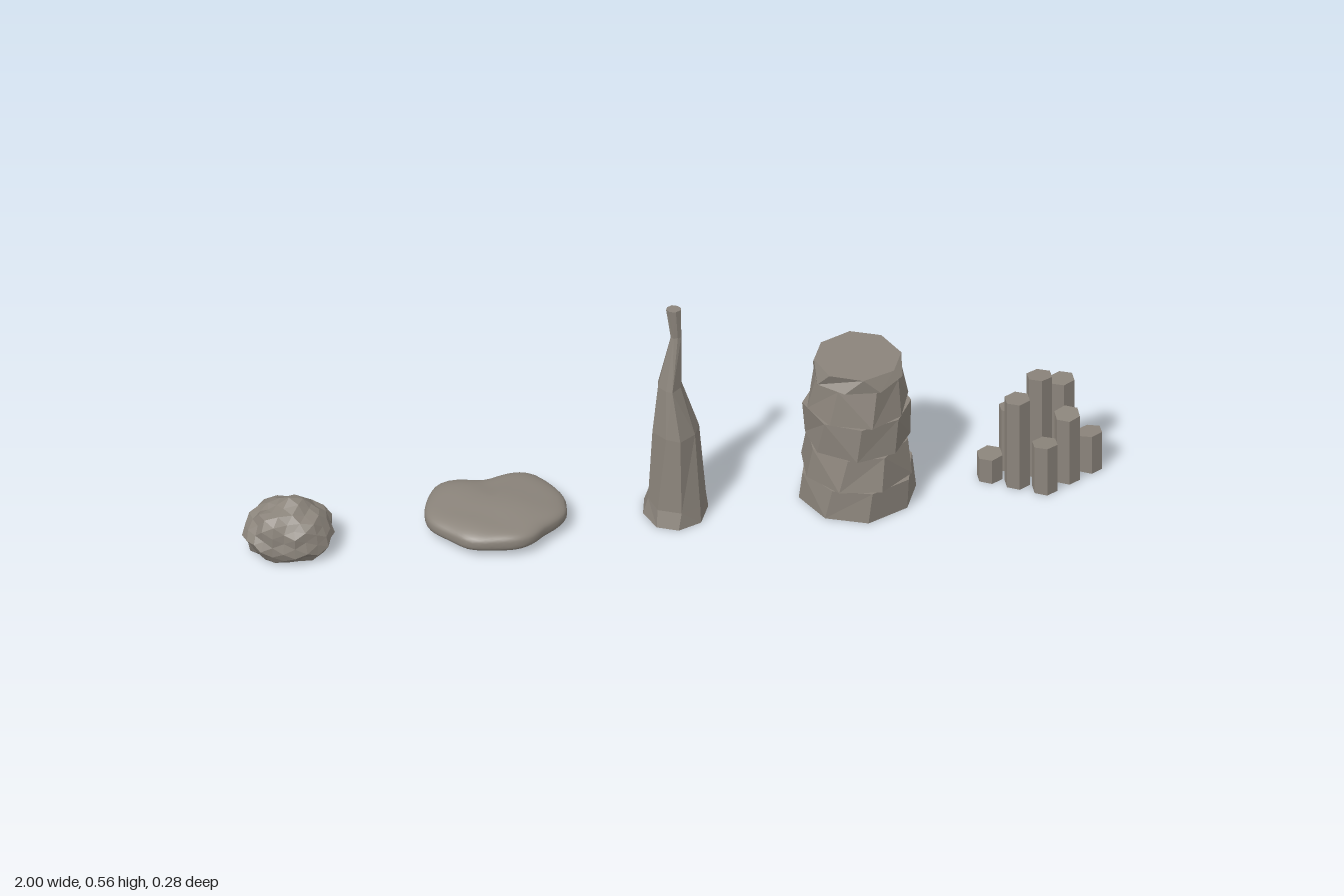
import * as THREE from 'three';
import { mergeVertices } from 'three/addons/utils/BufferGeometryUtils.js';

const stone = new THREE.MeshStandardMaterial({ color: 0x8b847b });
stone.name = 'stone';

// Repeatable pseudo-random value in -1..1
function hash(a, b = 0, c = 0) {
  const s = Math.sin(a * 127.1 + b * 311.7 + c * 74.7) * 43758.5453;
  return (s - Math.floor(s)) * 2 - 1;
}

function addMesh(parent, name, geometry, x = 0, z = 0) {
  const mesh = new THREE.Mesh(geometry, stone);
  mesh.name = name;
  mesh.position.set(x, 0, z);
  parent.add(mesh);
  return mesh;
}

// Flat-faced closed solid from rings of [y, centreX, centreZ, radiusX, radiusZ, turn, jitter]
function ringSolid(rings, sides, seed) {
  const pos = [], index = [];
  rings.forEach(([y, cx, cz, rx, rz, turn = 0, jitter = 0], j) => {
    for (let i = 0; i < sides; i++) {
      const a = ((i + turn) / sides) * Math.PI * 2 + hash(i, j, seed) * jitter * 2;
      const k = 1 + hash(i, j, seed + 5) * jitter;
      pos.push(cx + Math.sin(a) * rx * k, y, cz + Math.cos(a) * rz * k);
    }
  });
  for (let j = 0; j < rings.length - 1; j++) {
    for (let i = 0; i < sides; i++) {
      const n = (i + 1) % sides, a = j * sides + i, b = j * sides + n;
      const c = b + sides, d = a + sides;
      if ((i + j) % 2) index.push(a, b, c, a, c, d);
      else index.push(a, b, d, b, c, d);
    }
  }
  const top = (rings.length - 1) * sides;
  for (let i = 1; i < sides - 1; i++) {
    index.push(0, i + 1, i, top, top + i, top + i + 1);
  }
  const g = new THREE.BufferGeometry();
  g.setAttribute('position', new THREE.Float32BufferAttribute(pos, 3));
  g.setIndex(index);
  const flat = g.toNonIndexed();
  flat.computeVertexNormals();
  return flat;
}

// Move every vertex of a unit sphere by a rule
function shapeSphere(detail, rule, smooth) {
  let g = new THREE.IcosahedronGeometry(1, detail);
  const p = g.attributes.position, v = new THREE.Vector3();
  for (let i = 0; i < p.count; i++) {
    rule(v.fromBufferAttribute(p, i));
    p.setXYZ(i, v.x, v.y, v.z);
  }
  if (smooth) {
    g.deleteAttribute('normal');
    g.deleteAttribute('uv');
    g = mergeVertices(g, 1e-5);
  }
  g.computeVertexNormals();
  return g;
}

// Craggy boulder with a flat base
function boulder() {
  return shapeSphere(3, (v) => {
    const q = [v.x, v.y, v.z].map((n) => Math.round(n * 100) + 200);
    const lump = 0.05 * Math.sin(v.x * 6 + 1) * Math.cos(v.z * 5) + 0.04 * Math.sin(v.y * 8 + v.z * 4);
    const k = 0.97 + lump + 0.065 * hash(...q);
    v.set(v.x * 0.104 * k, Math.max(0, 0.05 + v.y * 0.083 * k), v.z * 0.084 * k);
  }, false);
}

// Worn, smooth slab; outline radii run every 45 degrees from +x towards +z
function slab() {
  const outline = [0.168, 0.138, 0.13, 0.134, 0.155, 0.168, 0.128, 0.176];
  return shapeSphere(9, (v) => {
    const t = ((Math.atan2(v.z, v.x) / (Math.PI * 2) + 1) % 1) * 8;
    const i = Math.floor(t) % 8, f = (1 - Math.cos((t - Math.floor(t)) * Math.PI)) / 2;
    const r = outline[i] * (1 - f) + outline[(i + 1) % 8] * f;
    const h = Math.hypot(v.x, v.z) || 1;
    const s = Math.pow(h, 0.85) / h * r * (1 + 0.02 * Math.sin(t * 5));
    const wave = 1 + 0.08 * Math.sin(v.x * 5 + 1) * Math.cos(v.z * 6);
    const y = Math.sign(v.y) * Math.pow(Math.abs(v.y), 0.7) * 0.034 * wave;
    v.set(v.x * s, Math.max(0, 0.035 + y), v.z * s);
  }, true);
}

export function createModel() {
  const model = new THREE.Group();
  model.name = 'rockSet';

  addMesh(model, 'boulder', boulder(), -0.892, 0);
  addMesh(model, 'slab', slab(), -0.415, 0);

  // Tall leaning spire
  addMesh(model, 'spire', ringSolid([
    [0, 0.007, 0.003, 0.078, 0.084, 0, 0.05],
    [0.04, 0.01, 0.003, 0.069, 0.074, 0, 0.06],
    [0.23, 0.007, 0.008, 0.053, 0.06, 0.1, 0.08],
    [0.35, -0.007, 0.004, 0.029, 0.036, 0.2, 0.08],
    [0.48, 0.008, 0.004, 0.013, 0.01, 0.2, 0.05],
    [0.555, 0.003, 0.001, 0.018, 0.015, 0.2, 0.05],
  ], 8, 3));

  // Layered butte: [bottom, top, lower radius, upper radius]
  const butte = new THREE.Group();
  butte.name = 'butte';
  butte.position.x = 0.431;
  model.add(butte);
  [
    [0, 0.077, 0.138, 0.134],
    [0.077, 0.159, 0.132, 0.12],
    [0.159, 0.247, 0.121, 0.124],
    [0.247, 0.335, 0.121, 0.106],
    [0.335, 0.372, 0.108, 0.102],
  ].forEach(([y0, y1, r0, r1], i) => {
    const turn = i * 0.37;
    addMesh(butte, 'butteLayer' + (i + 1), ringSolid([
      [y0, 0, 0, r0, r0, turn, 0.025],
      [y1, 0, 0, r1, r1, turn + (i === 4 ? 0.5 : 0.15), 0.025],
    ], 8, i + 11));
  });

  // Cluster of hexagonal columns: [grid x, grid z, height]
  const columns = new THREE.Group();
  columns.name = 'columns';
  columns.position.x = 0.855;
  model.add(columns);
  [
    [0, -2, 0.148], [-1, -1, 0.165], [1, -1, 0.228],
    [-2, 0, 0.065], [0, 0, 0.267], [2, 0, 0.098],
    [-1, 1, 0.232], [1, 1, 0.176], [0, 2, 0.125],
  ].forEach(([cx, cz, height], i) => {
    const g = new THREE.CylinderGeometry(0.031, 0.031, height, 6).toNonIndexed();
    g.translate(0, height / 2, 0);
    // Slightly sloping tops
    const p = g.attributes.position;
    for (let k = 0; k < p.count; k++) {
      if (p.getY(k) > height / 2) {
        p.setY(k, height + p.getX(k) * hash(i, 2) * 0.12 + p.getZ(k) * hash(i, 7) * 0.12);
      }
    }
    g.computeVertexNormals();
    addMesh(columns, 'column' + (i + 1), g, cx * 0.058, cz * 0.0345);
  });

  return model;
}
